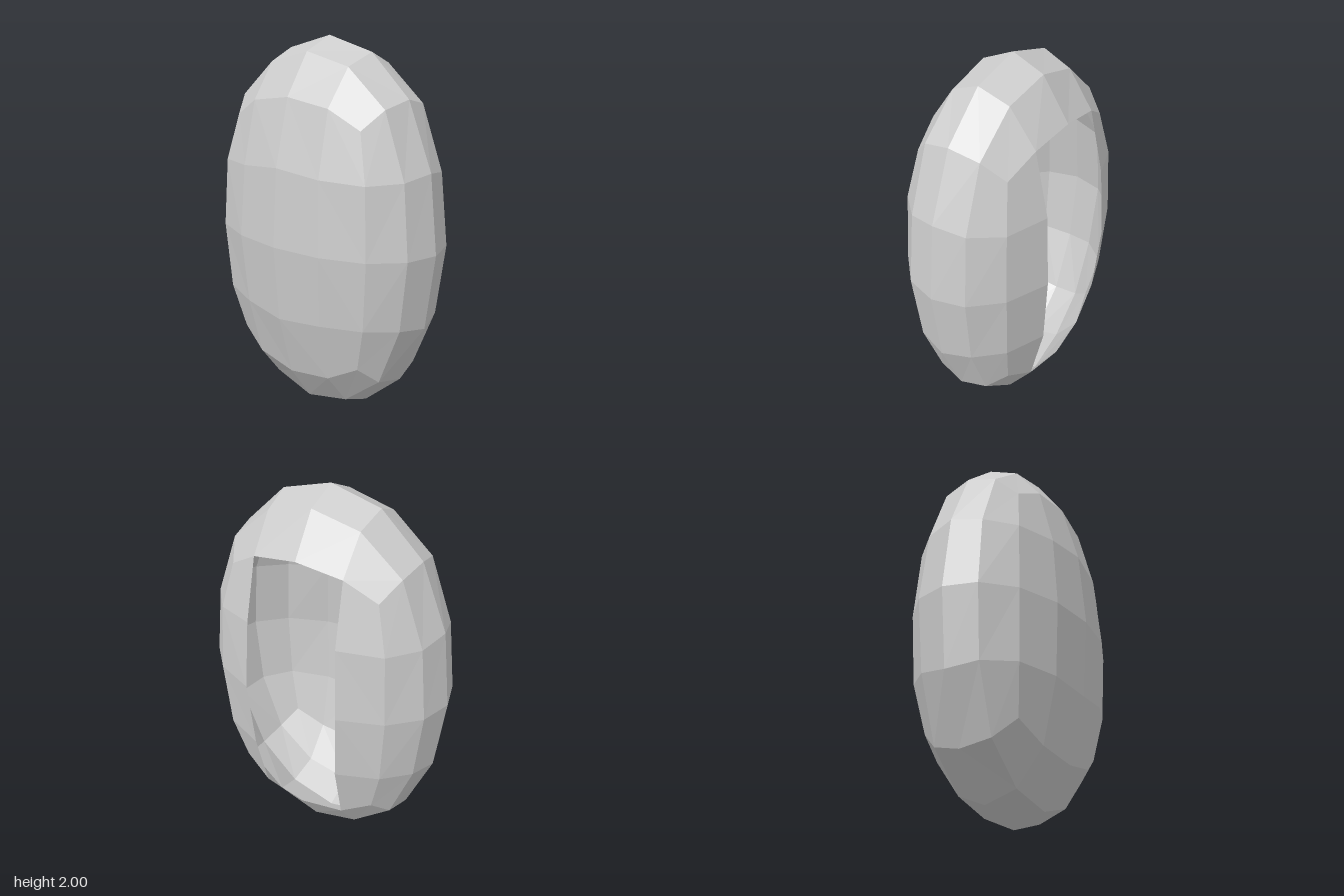
import * as THREE from 'three';

// Rounded-cube grid on each face, 4 x 4 cells: sideways and outward distances
// for a grid point, indexed by its absolute steps from the face centre.
const SIDE = [[0, 0, 0], [0.395, 0.37, 0.36], [0.725, 0.69, 0.6]];
const OUT = [[1, 0.93, 0.725], [0.93, 0.87, 0.69], [0.725, 0.69, 0.6]];
const RADII = [0.422, 1, 0.672];
const CENTRE = [0.012, 1, 0];

function gridPoint(axis, sign, u, v) {
  const a = Math.abs(u), b = Math.abs(v);
  const p = [0, 0, 0];
  p[axis] = sign * OUT[a][b];
  p[(axis + 1) % 3] = Math.sign(u) * SIDE[a][b];
  p[(axis + 2) % 3] = Math.sign(v) * SIDE[b][a];
  return p.map((c, i) => CENTRE[i] + c * RADII[i]);
}

function shellGeometry() {
  const positions = [];
  for (let axis = 0; axis < 3; axis++) {
    for (const sign of [1, -1]) {
      for (let u = -2; u < 2; u++) {
        for (let v = -2; v < 2; v++) {
          // tall opening on the +x side, two cells wide
          if (axis === 0 && sign === 1 && (v === -1 || v === 0)) continue;
          const q = [[u, v], [u + 1, v], [u + 1, v + 1], [u, v + 1]]
            .map(([i, j]) => gridPoint(axis, sign, i, j));
          if (sign < 0) q.reverse();
          for (const k of [0, 1, 2, 0, 2, 3]) positions.push(...q[k]);
        }
      }
    }
  }
  const geometry = new THREE.BufferGeometry();
  geometry.setAttribute('position', new THREE.Float32BufferAttribute(positions, 3));
  geometry.computeVertexNormals();
  return geometry;
}

export function createModel() {
  const group = new THREE.Group();
  group.name = 'openPod';
  const material = new THREE.MeshStandardMaterial({
    color: 0xcccccc, flatShading: true, side: THREE.DoubleSide,
  });
  const shell = new THREE.Mesh(shellGeometry(), material);
  shell.name = 'shell';
  group.add(shell);
  return group;
}
